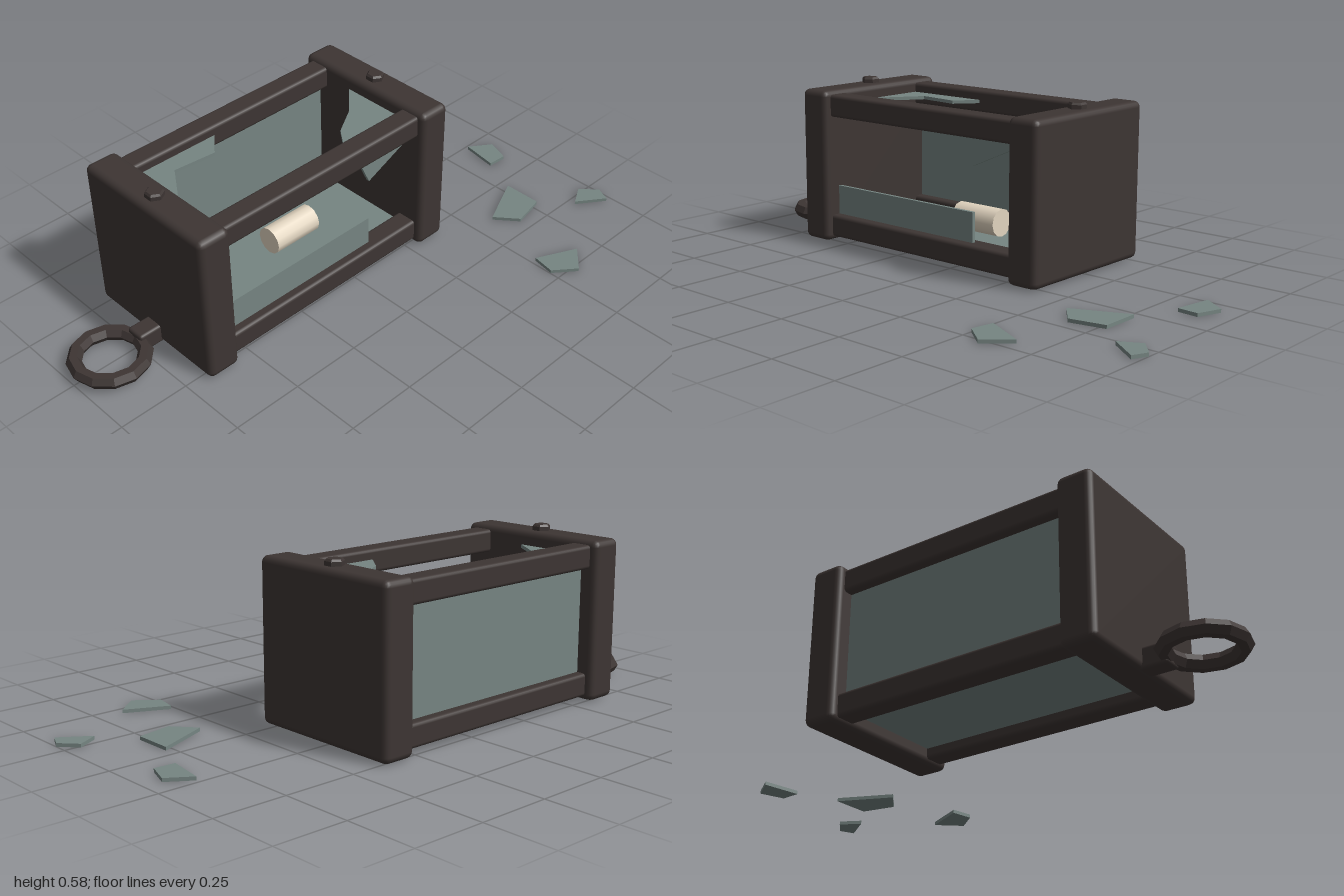
import * as THREE from 'three';
import { RoundedBoxGeometry } from 'three/addons/geometries/RoundedBoxGeometry.js';

const GLASS = 0.012; // pane thickness
const CX = -0.14, CY = 0.28, CZ = -0.243; // lantern centre

export function createModel() {
  const group = new THREE.Group();
  const iron = new THREE.MeshStandardMaterial({ name: 'darkIron', color: 0x3d3533 });
  const glass = new THREE.MeshStandardMaterial({ name: 'greyGlass', color: 0x768582 });
  const wax = new THREE.MeshStandardMaterial({ name: 'candleWax', color: 0xe2d5c0 });

  const add = (name, geometry, material, x = 0, y = 0, z = 0) => {
    const mesh = new THREE.Mesh(geometry, material);
    mesh.name = name;
    mesh.position.set(x, y, z);
    group.add(mesh);
    return mesh;
  };
  // Faceted geometry: every face gets its own normal
  const faceted = (geometry) => {
    const g = geometry.index ? geometry.toNonIndexed() : geometry;
    g.computeVertexNormals();
    return g;
  };
  const plate = (points) => new THREE.ExtrudeGeometry(
    new THREE.Shape(points.map(([a, b]) => new THREE.Vector2(a, b))),
    { depth: GLASS, bevelEnabled: false });
  // Horizontal plate from [x, z] corners, resting on y
  const flatPlate = (name, points, y) =>
    add(name, plate(points.map(([x, z]) => [x, -z])).rotateX(-Math.PI / 2), glass, 0, y, 0);
  // Upright plate from [x, y] corners, centred on z
  const uprightPlate = (name, points, z) => add(name, plate(points), glass, 0, 0, z - GLASS / 2);

  // End caps, each with a bolt on top
  const boltProfile = [[0, 0], [0.032, 0], [0.032, 0.019], [0.026, 0.026], [0, 0.026]]
    .map(([r, y]) => new THREE.Vector2(r, y));
  for (const [side, x] of [['right', -0.62], ['left', 0.34]]) {
    add(side + 'EndCap', new RoundedBoxGeometry(0.12, 0.55, 0.575, 2, 0.022), iron, x, CY, CZ);
    add(side + 'Bolt', faceted(new THREE.LatheGeometry(boltProfile, 6)), iron, x, 0.55, CZ);
  }

  // Four corner rails between the caps
  for (const dy of [-0.22, 0.22]) {
    for (const dz of [-0.22, 0.22]) {
      add('cornerRail', new RoundedBoxGeometry(0.88, 0.08, 0.08, 2, 0.012), iron, CX, CY + dy, CZ + dz);
    }
  }

  // Whole panes at the back and underneath
  add('backPane', new THREE.BoxGeometry(0.86, 0.4, GLASS), glass, CX, CY, CZ - 0.22);
  add('bottomPane', new THREE.BoxGeometry(0.86, GLASS, 0.4), glass, CX, CY - 0.22, CZ);

  // Broken front pane: a lower strip and a hanging shard
  uprightPlate('frontPaneStrip', [[-0.57, 0.08], [0.085, 0.08], [0.085, 0.205], [-0.57, 0.205]], CZ + 0.22);
  uprightPlate('frontPaneShard', [[0.03, 0.48], [0.085, 0.362], [0.26, 0.44], [0.275, 0.48]], CZ + 0.22);

  // Broken top pane: shards left in opposite corners
  flatPlate('topBackShard', [[-0.57, -0.45], [-0.215, -0.45], [-0.3, -0.345], [-0.455, -0.36], [-0.57, -0.19]], 0.494);
  flatPlate('topFrontShard', [[0.005, -0.05], [0.08, -0.148], [0.18, -0.21], [0.29, -0.32], [0.29, -0.05]], 0.494);

  // Candle lying on the bottom pane
  add('candle', new THREE.CylinderGeometry(0.05, 0.05, 0.19, 12).rotateZ(Math.PI / 2), wax, -0.075, 0.117, -0.247);

  // Carrying ring and its lug
  add('ringLug', new RoundedBoxGeometry(0.1, 0.07, 0.07, 2, 0.01), iron, -0.71, 0.04, CZ);
  add('carryingRing', faceted(new THREE.TorusGeometry(0.115, 0.026, 6, 12).rotateX(Math.PI / 2)), iron, -0.859, 0.036, CZ - 0.002);

  // Glass shards scattered on the ground
  const shards = [
    [[0.86, -0.235], [0.94, -0.18], [0.91, -0.095], [0.838, -0.1]],
    [[0.587, 0.125], [0.775, 0.04], [0.775, 0.18], [0.652, 0.205]],
    [[0.876, 0.28], [0.948, 0.24], [1.0, 0.298], [0.976, 0.35]],
    [[0.517, 0.385], [0.662, 0.455], [0.58, 0.527], [0.502, 0.465]],
  ];
  shards.forEach((points) => flatPlate('groundShard', points, 0));

  return group;
}
